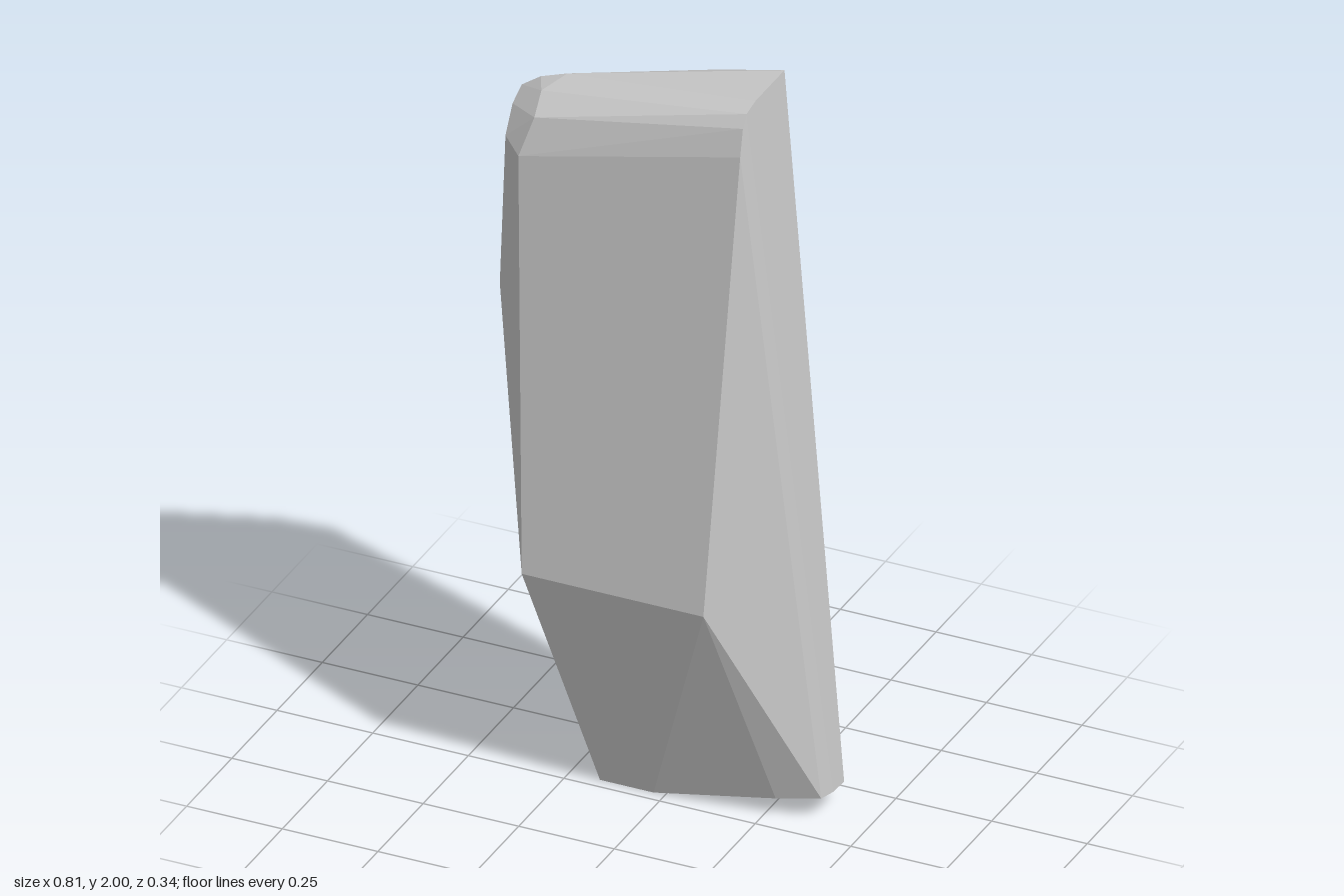
import * as THREE from 'three';
import { ConvexGeometry } from 'three/addons/geometries/ConvexGeometry.js';

// Faceted convex slab: corner points grouped by region, wrapped in a hull
const corners = {
  topRightArc: [
    [0.27, 2, -0.12], [0.27, 2, 0.04], [0.27, 1.99, 0.09],
    [0.27, 1.96, 0.11], [0.27, 1.89, 0.125],
  ],
  topBack: [[0.1, 1.96, -0.12], [-0.25, 1.915, -0.02], [-0.32, 1.89, -0.02], [-0.37, 1.855, -0.02]],
  topLeftRound: [
    [-0.385, 1.78, -0.02], [-0.37, 1.83, 0.03], [-0.365, 1.77, 0.08], [-0.31, 1.75, 0.125],
    [-0.29, 1.89, 0.04], [-0.28, 1.85, 0.1],
  ],
  leftSide: [
    [-0.405, 1.37, -0.02], [-0.392, 1.37, 0.05], [-0.375, 1.37, 0.09],
    [-0.28, 0.46, -0.01], [-0.285, 0.7, 0.165],
  ],
  frontRidge: [[-0.28, 0.64, 0.17], [0.195, 0.64, 0.17]],
  foot: [
    [-0.17, 0, -0.105], [-0.17, 0, -0.03], [-0.03, 0, -0.03],
    [0.28, 0.06, -0.175], [0.4, 0.06, -0.175], [0.397, 0.06, -0.12],
    [0.385, 0.06, -0.08], [0.28, 0.05, -0.05],
  ],
};

export function createModel() {
  const group = new THREE.Group();
  const points = Object.values(corners).flat().map((p) => new THREE.Vector3(...p));
  const slab = new THREE.Mesh(
    new ConvexGeometry(points),
    new THREE.MeshStandardMaterial({ color: 0xcccccc, flatShading: true }),
  );
  slab.name = 'facetedSlab';
  group.add(slab);
  return group;
}
